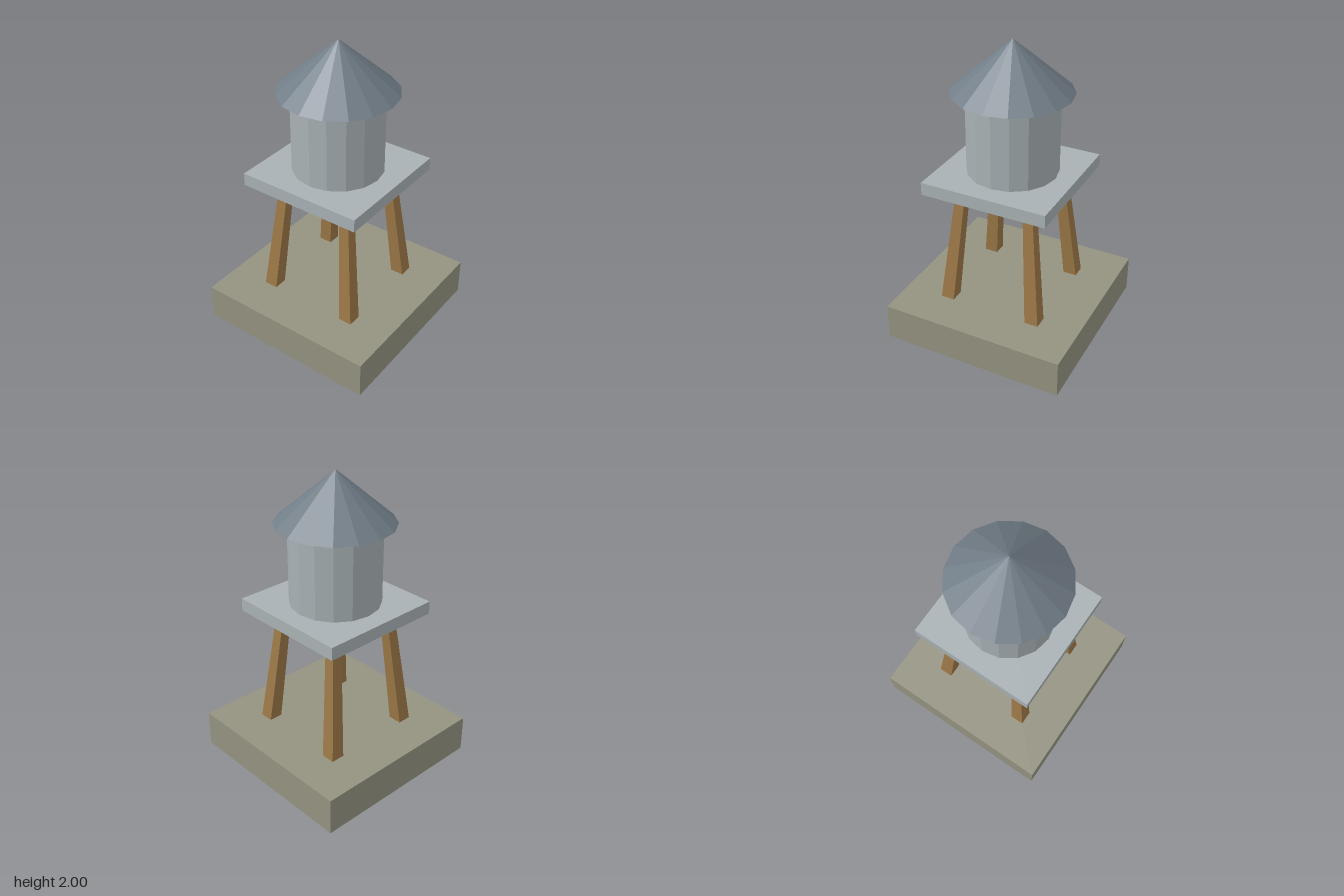
import * as THREE from 'three';

const flat = (name, color, side = THREE.FrontSide) => {
  const m = new THREE.MeshStandardMaterial({ color, flatShading: true, side });
  m.name = name;
  return m;
};

export function createModel() {
  const stone = flat('stone', 0x949280);
  const metal = flat('metal', 0xa8b1b4);
  const wood = flat('wood', 0x9c7847);
  const slate = flat('slate', 0x717d87, THREE.DoubleSide);

  const model = new THREE.Group();
  model.name = 'waterTower';
  const add = (name, geometry, material, y = 0) => {
    const mesh = new THREE.Mesh(geometry, material);
    mesh.name = name;
    mesh.position.y = y;
    model.add(mesh);
    return mesh;
  };

  // Ground block and platform
  add('base', new THREE.BoxGeometry(1.23, 0.25, 1.23), stone, 0.125);
  add('platform', new THREE.BoxGeometry(0.84, 0.085, 0.84), metal, 1.0975);

  // Four square legs, tapering and leaning inwards
  const bottom = 0.25, top = 1.056;
  for (const sx of [-1, 1]) {
    for (const sz of [-1, 1]) {
      const geo = new THREE.BoxGeometry(1, 1, 1);
      const p = geo.attributes.position;
      for (let i = 0; i < p.count; i++) {
        const up = p.getY(i) > 0;
        const width = up ? 0.066 : 0.092;
        const centre = up ? 0.231 : 0.308;
        p.setXYZ(i, sx * centre + p.getX(i) * width, up ? top : bottom, sz * centre + p.getZ(i) * width);
      }
      geo.computeVertexNormals();
      add((sz > 0 ? 'front' : 'back') + (sx > 0 ? 'Left' : 'Right') + 'Leg', geo, wood);
    }
  }

  // Tank reaching up inside the open conical roof
  add('tank', new THREE.CylinderGeometry(0.295, 0.295, 0.59, 16), metal, 1.435);
  add('roof', new THREE.ConeGeometry(0.382, 0.333, 16, 1, true), slate, 1.8335);

  return model;
}
